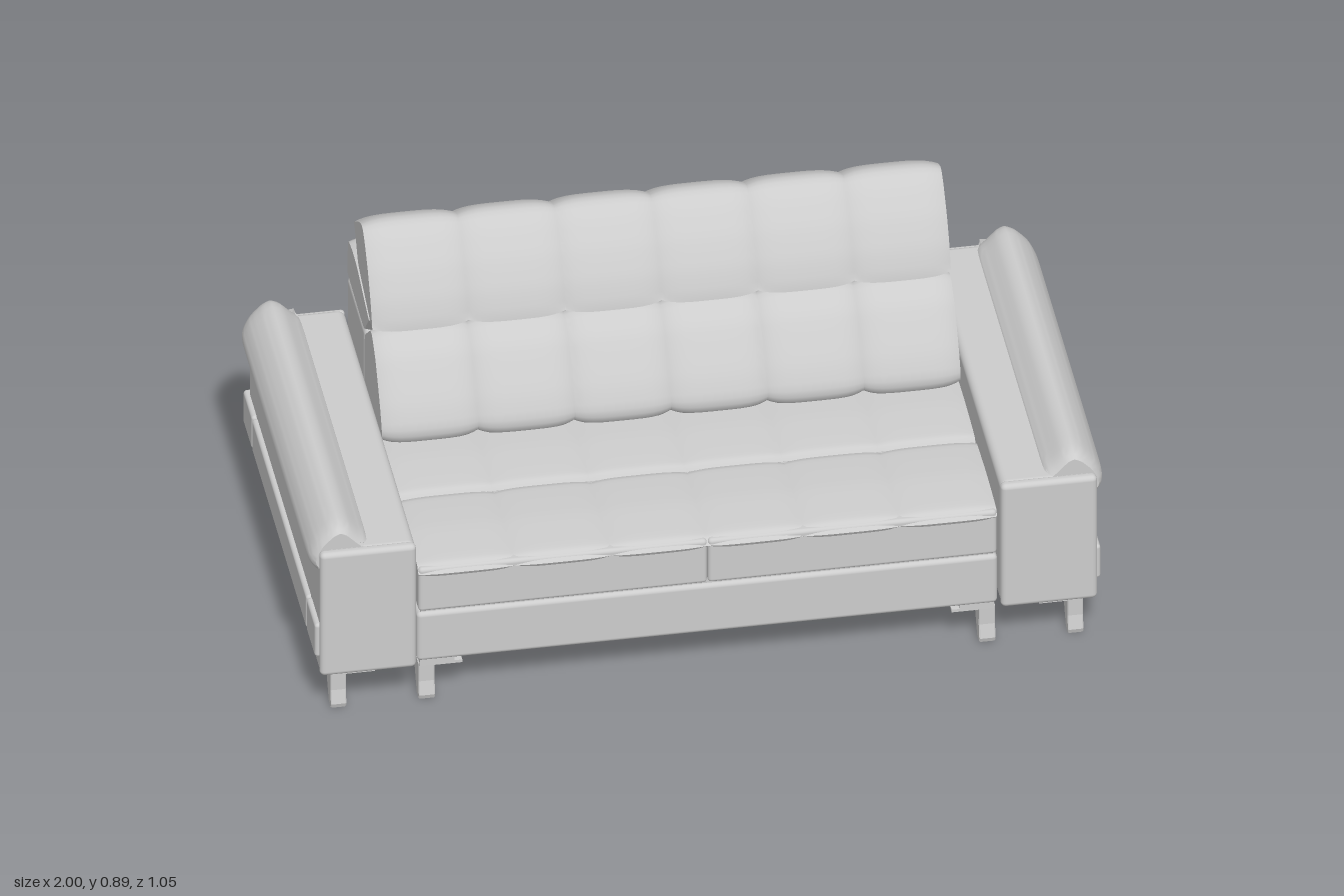
import * as THREE from 'three';
import { toCreasedNormals } from 'three/addons/utils/BufferGeometryUtils.js';
import { RoundedBoxGeometry } from 'three/addons/geometries/RoundedBoxGeometry.js';

const fabric = new THREE.MeshStandardMaterial({ color: 0xcccccc });
fabric.name = 'light grey';

// Padded bar along z: a smoothed closed outline (x, y), drawn in towards both ends.
function padGeometry(outline, z0, z1, puff, power = 4, rings = 14) {
  const curve = new THREE.CatmullRomCurve3(
    outline.map(([a, b]) => new THREE.Vector3(a, b, 0)), true, 'catmullrom', 0.32);
  const n = 48;
  const pts = curve.getSpacedPoints(n).slice(0, n).map(p => new THREE.Vector2(p.x, p.y));
  if (THREE.ShapeUtils.area(pts) < 0) pts.reverse();
  const normals = pts.map((p, i) => {
    const d = pts[(i + 1) % n].clone().sub(pts[(i + n - 1) % n]).normalize();
    return new THREE.Vector2(d.y, -d.x);
  });
  const centre = pts.reduce((s, p) => s.add(p), new THREE.Vector2()).divideScalar(n);
  const pos = [], idx = [];
  for (let r = 0; r <= rings; r++) {
    const u = -Math.cos(Math.PI * r / rings);
    const inset = puff * Math.pow(Math.abs(u), power);
    const z = (z0 + z1) / 2 + u * (z1 - z0) / 2;
    pts.forEach((p, i) => pos.push(p.x - normals[i].x * inset, p.y - normals[i].y * inset, z));
  }
  pos.push(centre.x, centre.y, z0, centre.x, centre.y, z1);
  const first = (rings + 1) * n, last = rings * n;
  for (let i = 0; i < n; i++) {
    const j = (i + 1) % n;
    for (let r = 0; r < rings; r++) {
      const a = r * n + i, b = r * n + j;
      idx.push(a, b, b + n, a, b + n, a + n);
    }
    idx.push(first, j, i, first + 1, last + i, last + j);
  }
  const g = new THREE.BufferGeometry();
  g.setAttribute('position', new THREE.Float32BufferAttribute(pos, 3));
  g.setIndex(idx);
  return toCreasedNormals(g, 0.75);
}

export function createModel() {
  const sofa = new THREE.Group();
  sofa.name = 'sofa';

  const add = (name, geometry) => {
    const m = new THREE.Mesh(geometry, fabric);
    m.name = name;
    sofa.add(m);
    return m;
  };
  // Box from its limits, softened when a radius is given
  const box = (name, x0, x1, y0, y1, z0, z1, r = 0) => {
    const w = Math.abs(x1 - x0), h = y1 - y0, d = z1 - z0;
    const g = r ? new RoundedBoxGeometry(w, h, d, 3, r) : new THREE.BoxGeometry(w, h, d);
    add(name, g).position.set((x0 + x1) / 2, (y0 + y1) / 2, (z0 + z1) / 2);
  };
  // Row of six tufted cells across x, outline given as (z, y)
  const cell = 0.2425;
  const tuftedRow = (name, outline, puff) => {
    for (let i = -3; i < 3; i++) {
      add(name, padGeometry(outline, i * cell, (i + 1) * cell, puff)).geometry.rotateY(-Math.PI / 2);
    }
  };

  // Base and back frame
  box('base', -0.73, 0.73, 0.115, 0.26, -0.505, 0.5, 0.012);
  box('seatCore', -0.72, 0.72, 0.25, 0.385, -0.3, 0.49);
  box('backFrame', -0.725, 0.725, 0.12, 0.585, -0.51, -0.27, 0.015);
  box('backPanel', -0.728, 0.728, 0.252, 0.59, -0.519, -0.26, 0.02);
  for (const s of [-1, 1]) {
    box('lowerBackPanel', s * 0.001, s * 0.728, 0.115, 0.25, -0.52, -0.48, 0.006);
    box('seatFront', s * 0.001, s * 0.727, 0.27, 0.4, 0.2, 0.507, 0.01);
  }

  // Seat tufts
  tuftedRow('frontSeatTuft', [[0.508, 0.375], [0.505, 0.395], [0.485, 0.407], [0.35, 0.414],
    [0.22, 0.409], [0.201, 0.398], [0.201, 0.37], [0.35, 0.365]], 0.007);
  tuftedRow('rearSeatTuft', [[0.199, 0.37], [0.199, 0.398], [0.18, 0.409], [0.05, 0.417],
    [-0.1, 0.415], [-0.15, 0.4], [-0.15, 0.36], [0.05, 0.36]], 0.007);

  // Back cushions, top bolster and raised headrests
  tuftedRow('backCushion', [[-0.02, 0.41], [0.0, 0.45], [-0.025, 0.51], [-0.06, 0.565], [-0.1, 0.62],
    [-0.15, 0.66], [-0.185, 0.662], [-0.225, 0.63], [-0.275, 0.58], [-0.285, 0.48], [-0.27, 0.405],
    [-0.14, 0.4]], 0.016);
  tuftedRow('backBolster', [[-0.19, 0.667], [-0.27, 0.69], [-0.36, 0.714], [-0.43, 0.72], [-0.495, 0.712],
    [-0.514, 0.69], [-0.519, 0.64], [-0.515, 0.585], [-0.4, 0.578], [-0.27, 0.578], [-0.23, 0.615]], 0.012);
  tuftedRow('headrest', [[-0.142, 0.662], [-0.165, 0.735], [-0.205, 0.805], [-0.25, 0.86], [-0.282, 0.887],
    [-0.31, 0.891], [-0.35, 0.874], [-0.425, 0.822], [-0.428, 0.81], [-0.395, 0.762], [-0.36, 0.715],
    [-0.27, 0.685], [-0.19, 0.66]], 0.013);

  // Leg outline (z, y), front leg; the rear one is mirrored
  const legShape = new THREE.Shape([[0.5, 0.105], [0.422, 0.105], [0.428, 0.09], [0.462, 0.022],
    [0.474, 0], [0.503, 0], [0.507, 0.012], [0.499, 0.05]].map(([a, b]) => new THREE.Vector2(a, b)));

  for (const s of [-1, 1]) {
    // Arm body with front and outer panels
    box('armBody', s * 0.735, s * 0.975, 0.12, 0.485, -0.515, 0.515, 0.02);
    box('armFrontPanel', s * 0.735, s * 0.977, 0.116, 0.485, 0.495, 0.525, 0.013);
    box('armRearPanel', s * 0.735, s * 0.972, 0.118, 0.48, -0.52, -0.5, 0.009);
    box('armPlinth', s * 0.74, s * 0.972, 0.115, 0.126, -0.51, 0.51);

    // Raised outer band in three lengths
    for (const [z0, z1] of [[-0.522, -0.397], [-0.395, 0.383], [0.385, 0.508]]) {
      box('armBand', s * 0.955, s * 0.988, 0.165, 0.264, z0, z1, 0.009);
    }

    // Folded pad over the outer top edge of the arm
    const outline = [[0.85, 0.484], [0.87, 0.507], [0.898, 0.535], [0.923, 0.545], [0.95, 0.533],
      [0.98, 0.502], [0.998, 0.466], [0.999, 0.44], [0.985, 0.417], [0.968, 0.417], [0.95, 0.455],
      [0.91, 0.475]].map(([x, y]) => [s * x, y]);
    add('armPad', padGeometry(outline, -0.515, 0.502, 0.016, 30, 28));

    // Legs, mounting plates and rails under the arm and under the seat
    for (const [inner, plate, outer] of [[0.91, 0.835, 0.943], [0.687, 0.615, 0.722]]) {
      for (const end of [1, -1]) {
        const g = new THREE.ExtrudeGeometry(legShape, { depth: outer - inner, bevelEnabled: true,
          bevelThickness: 0.003, bevelSize: 0.002, bevelOffset: -0.002, bevelSegments: 1 });
        g.translate(0, 0, -(outer - inner) / 2).rotateY(-end * Math.PI / 2);
        add('leg', g).position.set(s * (inner + outer) / 2, 0, -0.0075);
        const a = end > 0 ? 0.38 : -0.51, b = end > 0 ? 0.495 : -0.395;
        box('legPlate', s * plate, s * outer, 0.098, 0.106, a, b);
        box('legBlock', s * (plate + 0.02), s * outer, 0.104, 0.118, a, b);
      }
      box('underRail', s * inner, s * (inner + 0.02), 0.101, 0.118, -0.4, 0.39);
    }
  }
  return sofa;
}
